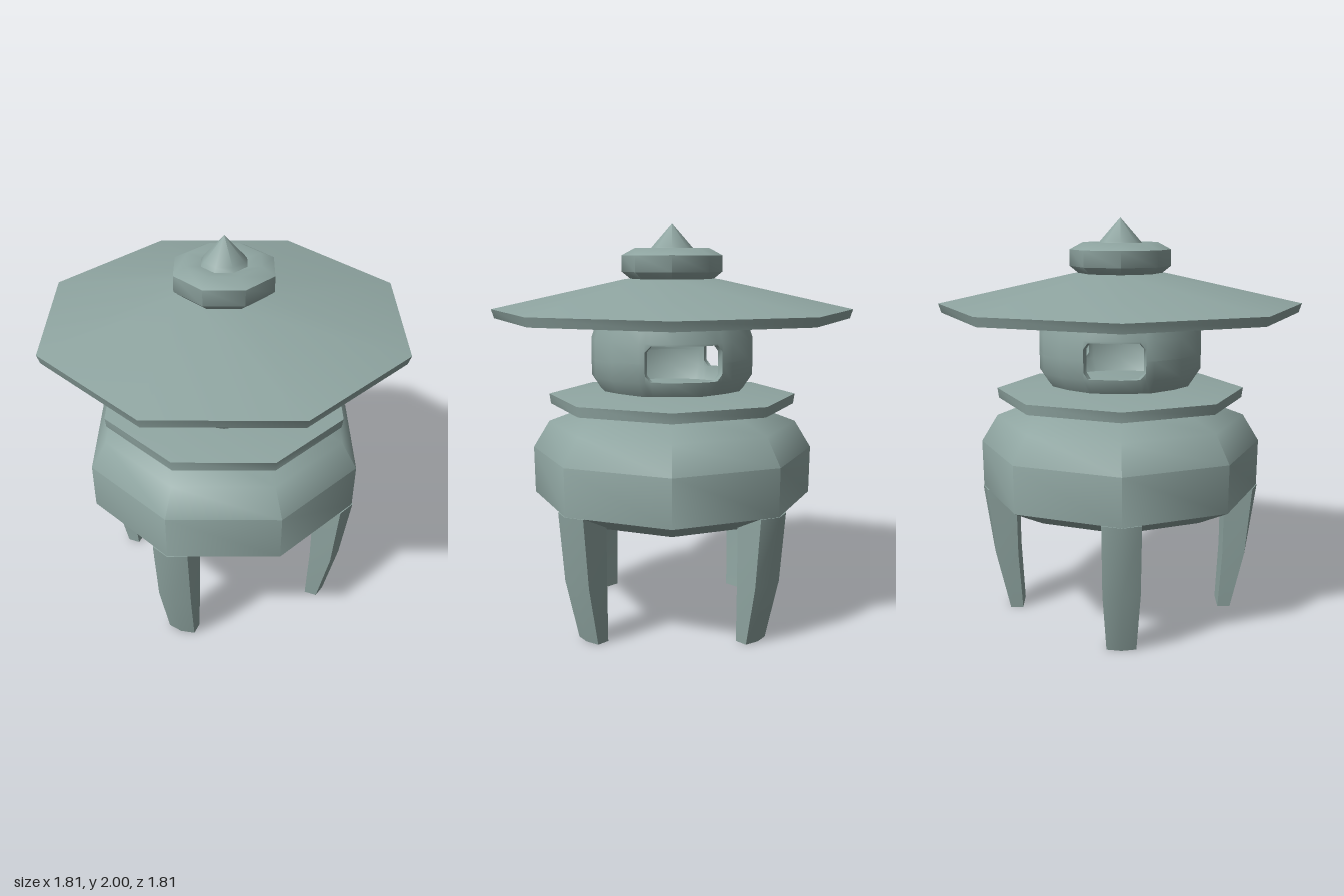
import * as THREE from 'three';
import { toCreasedNormals } from 'three/addons/utils/BufferGeometryUtils.js';

const CREASE = 0.87;
const stone = new THREE.MeshStandardMaterial({ color: 0x8fa5a1 });
stone.name = 'grey green stone';

function part(name, geometry) {
  const mesh = new THREE.Mesh(toCreasedNormals(geometry, CREASE), stone);
  mesh.name = name;
  return mesh;
}

// Eight-sided turned part, profile listed from the bottom up
function turned(name, profile) {
  return part(name, new THREE.LatheGeometry(profile.map(([r, y]) => new THREE.Vector2(r, y)), 8));
}

// Joins closed cross-sections; either capped at both ends or joined into a ring
function loft(rings, capped) {
  const n = rings[0].length;
  const index = [];
  const spans = capped ? rings.length - 1 : rings.length;
  for (let i = 0; i < spans; i++) {
    const k = (i + 1) % rings.length;
    for (let j = 0; j < n; j++) {
      const a = i * n + j, b = i * n + (j + 1) % n;
      const d = k * n + j, c = k * n + (j + 1) % n;
      index.push(a, b, c, a, c, d);
    }
  }
  if (capped) {
    const top = (rings.length - 1) * n;
    for (let j = 1; j < n - 1; j++) {
      index.push(0, j + 1, j, top, top + j, top + j + 1);
    }
  }
  const geometry = new THREE.BufferGeometry();
  geometry.setAttribute('position', new THREE.Float32BufferAttribute(rings.flat(2), 3));
  geometry.setIndex(index);
  return geometry;
}

// Tapering leg on the diagonal, symmetric about x = z
function legGeometry() {
  // y, outer side corner (a, b), outer ridge v, inner corner (c, d)
  const levels = [
    [0, 0.355, 0.455, 0.415, 0.31, 0.41],
    [0.3, 0.39, 0.515, 0.465, 0.31, 0.435],
    [0.645, 0.41, 0.54, 0.5, 0.31, 0.44],
  ];
  return loft(levels.map(([y, a, b, v, c, d]) =>
    [[a, y, b], [v, y, v], [b, y, a], [d, y, c], [c, y, d]]), true);
}

// Hollow light chamber with three chamfered windows
function chamber() {
  const group = new THREE.Group();
  group.name = 'lightChamber';
  const windows = [[-36.5, 18.5], [90.5, 126.5], [208, 251]]; // degrees from +x towards +z
  const low = 1.26, high = 1.43, middle = 1.345, chamfer = 0.03, chamferAngle = 4;

  // Columns around the wall: angle, opening bottom, opening top
  const columns = [];
  for (const [a, b] of windows) {
    columns.push([a, middle, middle], [a, low + chamfer, high - chamfer], [a + chamferAngle, low, high]);
    columns.push([b - chamferAngle, low, high], [b, low + chamfer, high - chamfer], [b, middle, middle]);
  }
  for (let s = -1; s < 15; s++) {
    const angle = s * 22.5;
    const hit = windows.find(([a, b]) => angle > a && angle < b);
    columns.push(hit ? [angle, low, high] : [angle, middle, middle]);
  }
  columns.sort((p, q) => p[0] - q[0]);

  const section = (angle, profile) => {
    const t = THREE.MathUtils.degToRad(angle);
    const side = Math.PI / 8;
    const offset = t - Math.floor(t / side + 1e-6) * side - side / 2;
    const k = Math.cos(side / 2) / Math.cos(offset);
    return profile.map(([r, y]) => [r * k * Math.cos(t), y, r * k * Math.sin(t)]);
  };
  const lower = columns.map(([angle, lo]) => section(angle,
    [[0.355, 1.18], [0.405, 1.255], [0.405, lo], [0.372, lo], [0.372, 1.255], [0.325, 1.18]]));
  const upper = columns.map(([angle, , hi]) => section(angle,
    [[0.405, hi], [0.405, 1.44], [0.37, 1.54], [0.34, 1.54], [0.372, 1.44], [0.372, hi]]));
  group.add(part('lowerWall', loft(lower, false)), part('upperWall', loft(upper, false)));
  return group;
}

export function createModel() {
  const model = new THREE.Group();
  model.name = 'stoneLantern';

  // Four legs
  const leg = legGeometry();
  for (let i = 0; i < 4; i++) {
    const mesh = part('leg', leg);
    mesh.rotation.y = i * Math.PI / 2;
    model.add(mesh);
  }

  // Rounded base and the shelf above it
  model.add(turned('base', [[0, 0.56], [0.53, 0.56], [0.703, 0.645], [0.707, 0.88],
    [0.625, 1.015], [0.4, 1.1], [0, 1.11]]));
  model.add(turned('shelf', [[0, 1.105], [0.615, 1.105], [0.622, 1.155], [0.36, 1.19], [0, 1.19]]));

  model.add(chamber());

  // Broad eight-sided roof
  model.add(turned('roof', [[0, 1.535], [0.89, 1.535], [0.905, 1.58], [0.23, 1.73], [0, 1.74]]));

  // Finial collar and point
  model.add(turned('finialCollar', [[0.2, 1.725], [0.25, 1.765], [0.25, 1.845], [0.185, 1.88],
    [0.11, 1.865], [0, 1.865]]));
  model.add(turned('finialPoint', [[0.115, 1.865], [0.1, 1.885], [0, 2]]));
  return model;
}
